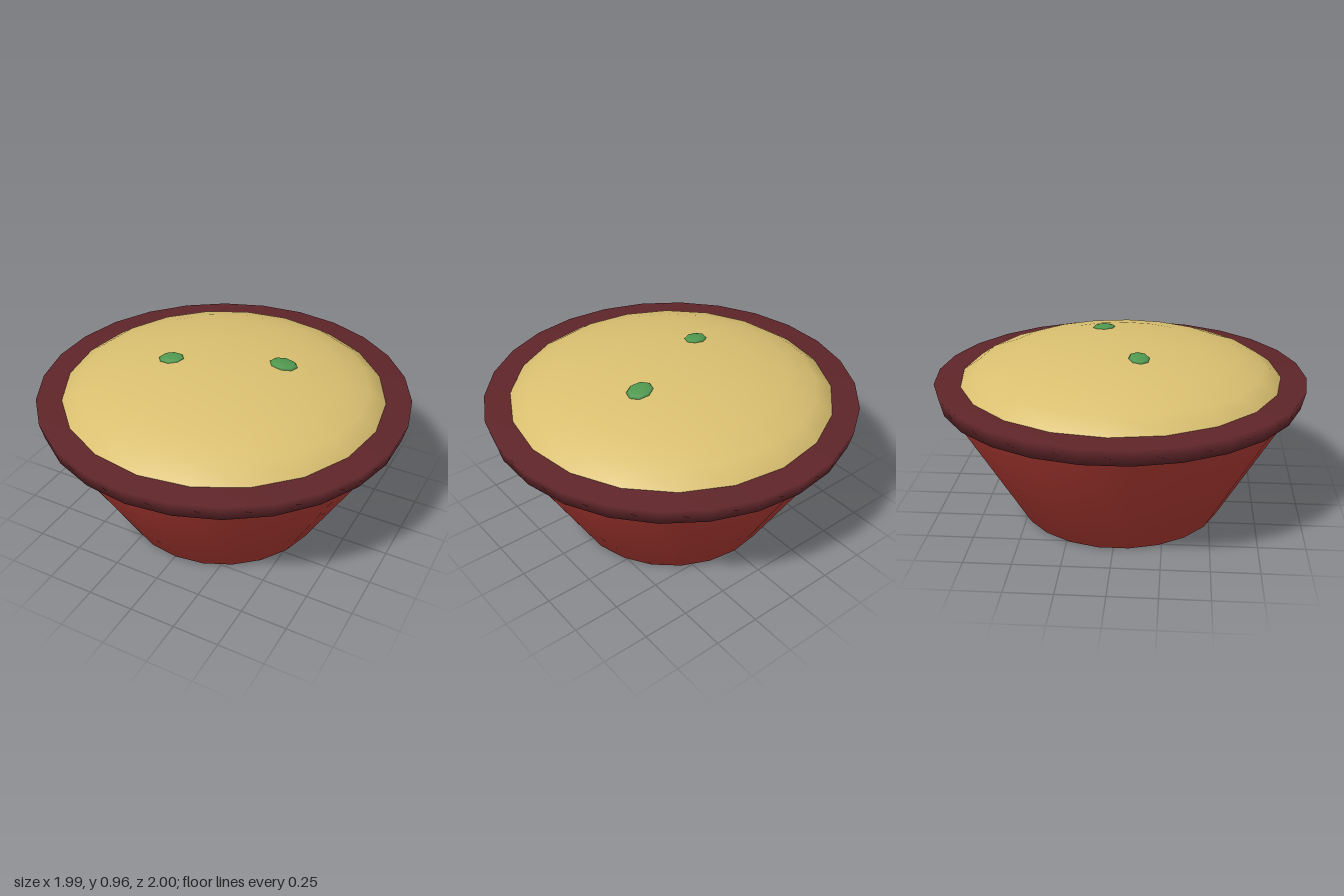
import * as THREE from 'three';

const mat = (name, color) => {
  const m = new THREE.MeshStandardMaterial({ color });
  m.name = name;
  return m;
};

// Smooth-shaded turned solid from [radius, height] pairs, listed bottom to top
function turned(name, points, sides, material) {
  const profile = points.map(([r, y]) => new THREE.Vector2(r, y));
  const mesh = new THREE.Mesh(new THREE.LatheGeometry(profile, sides), material);
  mesh.name = name;
  return mesh;
}

// Flattened ellipsoid
function ellipsoid(name, [rx, ry, rz], [x, y, z], around, down, material) {
  const geometry = new THREE.SphereGeometry(1, around, down).scale(rx, ry, rz);
  const mesh = new THREE.Mesh(geometry, material);
  mesh.position.set(x, y, z);
  mesh.name = name;
  return mesh;
}

export function createModel() {
  const red = mat('red glaze', 0xb03a33);
  const maroon = mat('maroon rim', 0x5e2529);
  const cream = mat('cream filling', 0xd9bf70);
  const green = mat('green herb', 0x50984f);

  const model = new THREE.Group();
  model.name = 'filledBowl';

  // Tapered bowl with a closed base
  model.add(turned('bowl', [[0, 0], [0.56, 0], [0.96, 0.7]], 22, red));

  // Overhanging rim, slightly wider at its top
  model.add(turned('rim', [[0, 0.675], [0.978, 0.675], [1, 0.765], [0, 0.765]], 26, maroon));

  // Domed filling rising out of the bowl
  model.add(ellipsoid('filling', [0.892, 0.25, 0.892], [0, 0.705, 0], 20, 12, cream));

  // Two herb flecks lying on the dome
  const flecks = [
    { size: [0.077, 0.017, 0.063], at: [0.293, 0.936, -0.115], tilt: -0.1 },
    { size: [0.07, 0.017, 0.056], at: [-0.255, 0.94, 0.112], tilt: 0.09 },
  ];
  flecks.forEach(({ size, at, tilt }, i) => {
    const fleck = ellipsoid('herbFleck' + (i + 1), size, at, 8, 6, green);
    fleck.rotation.set(at[2] * 0.3, 0.2, tilt);
    model.add(fleck);
  });

  return model;
}
